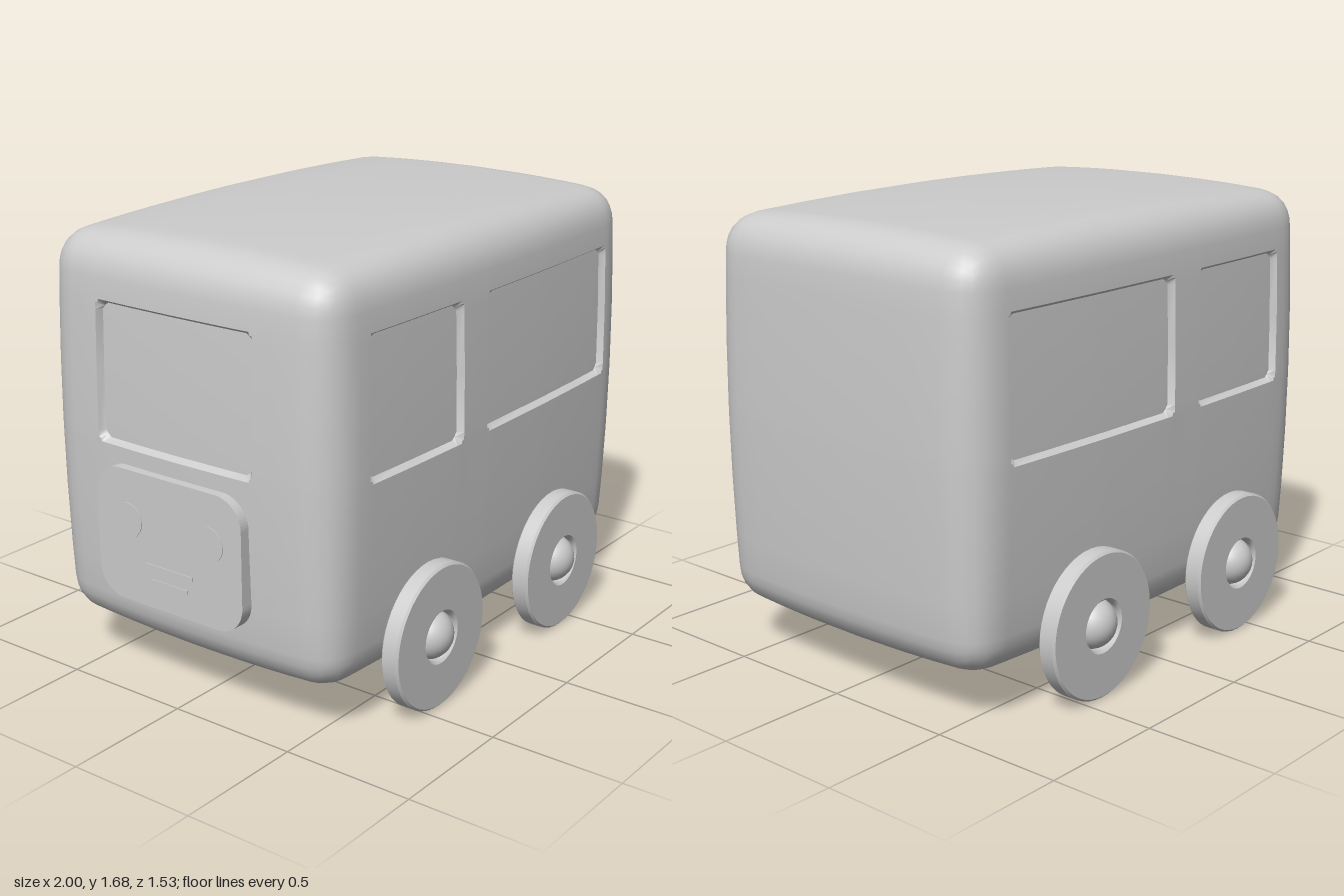
import * as THREE from 'three';
import { toCreasedNormals } from 'three/addons/utils/BufferGeometryUtils.js';

const mat = new THREE.MeshStandardMaterial({ color: 0xcccccc });

// Body box: centre, half sizes and edge radius
const C = [0.017, 0.915, 0], H = [0.982, 0.764, 0.668], R = 0.17;
const RIM = 0.014, DEPTH = 0.024;
const WIN_Y = [0.918, 1.432];
const SIDE_WINDOWS = [[-0.742, -0.208], [-0.062, 0.81]];
const WINDSCREEN = [-0.37, 0.33];

function mesh(name, geometry, parent) {
  const m = new THREE.Mesh(geometry, mat);
  m.name = name;
  parent.add(m);
  return m;
}

// Grid lines along one axis: rounded ends, window rims, and a few in between
function stations(axis, windows) {
  const c = C[axis], h = H[axis];
  const list = [];
  for (let i = 0; i <= 3; i++) {
    const d = h - R + R * Math.tan((i * Math.PI) / 12);
    list.push(c - d, c + d);
  }
  for (const [a, b] of windows) {
    list.push(a, a + RIM, a + 0.04, (a + b) / 2, b - 0.04, b - RIM, b);
  }
  for (const t of [-0.6, -0.3, 0, 0.3, 0.6]) {
    const v = c + t * h;
    if (list.every((s) => Math.abs(s - v) > 0.05)) list.push(v);
  }
  return list.sort((a, b) => a - b);
}

// Puffed box with recessed window panes
function bodyGeometry() {
  const grid = [stations(0, SIDE_WINDOWS), stations(1, [WIN_Y]), stations(2, [WINDSCREEN])];
  const n = grid.map((g) => g.length - 1);
  const geo = new THREE.BoxGeometry(2, 2, 2, ...n);
  const pos = geo.attributes.position;
  const E = 1e-4;
  for (let i = 0; i < pos.count; i++) {
    const p = [pos.getX(i), pos.getY(i), pos.getZ(i)].map(
      (v, k) => grid[k][Math.round(((v + 1) / 2) * n[k])]);

    // Find the window this vertex belongs to, if any
    let axis = -1, win = null;
    const inside = (v, [a, b]) => v > a - E && v < b + E;
    if (Math.abs(Math.abs(p[2]) - H[2]) < E) {
      win = SIDE_WINDOWS.find((w) => inside(p[0], w));
      axis = 2;
    } else if (Math.abs(p[0] - C[0] + H[0]) < E && inside(p[2], WINDSCREEN)) {
      win = WINDSCREEN;
      axis = 0;
    }
    if (!inside(p[1], WIN_Y)) win = null;
    let sunk = false;
    if (win) {
      const u = axis === 2 ? 0 : 2;
      const edge = (v, [a, b]) => Math.min(v - a, b - v);
      const eu = edge(p[u], win), ev = edge(p[1], WIN_Y);
      sunk = eu > E && ev > E;
      // Round off the corners of the rim
      if (eu < RIM + E && ev < RIM + E && Math.abs(eu - ev) < E) {
        p[u] += 0.011 * Math.sign((win[0] + win[1]) / 2 - p[u]);
        p[1] += 0.011 * Math.sign((WIN_Y[0] + WIN_Y[1]) / 2 - p[1]);
      }
    }

    // Round the box edges
    const q = p.map((v, k) => v - C[k]);
    const core = q.map((v, k) => THREE.MathUtils.clamp(v, R - H[k], H[k] - R));
    const d = q.map((v, k) => v - core[k]);
    const len = Math.hypot(...d);
    const r = core.map((v, k) => v + (d[k] / len) * R);

    // Let every face bulge towards its middle
    const t = r.map((v, k) => Math.abs(v / H[k]));
    const out = r.map((v, k) => {
      const others = t.reduce((s, w, j) => (j === k ? s : s + w * w), 0);
      return v - Math.sign(v) * 0.028 * others * t[k] ** 8;
    });
    if (sunk) out[axis] -= Math.sign(out[axis]) * DEPTH;
    pos.setXYZ(i, ...out.map((v, k) => v + C[k]));
  }
  geo.deleteAttribute('uv');
  return toCreasedNormals(geo, 0.6);
}

// Plate on the front end, with two lamps and two grille bars
function faceplate() {
  const g = new THREE.Group();
  g.name = 'faceplate';
  const w = 0.33, h = 0.247, r = 0.11;
  const s = new THREE.Shape();
  s.moveTo(-w + r, -h);
  s.absarc(w - r, -h + r, r, -Math.PI / 2, 0);
  s.absarc(w - r, h - r, r, 0, Math.PI / 2);
  s.absarc(-w + r, h - r, r, Math.PI / 2, Math.PI);
  s.absarc(-w + r, -h + r, r, Math.PI, Math.PI * 1.5);
  mesh('plate', new THREE.ExtrudeGeometry(s, { depth: 0.06, bevelEnabled: false, curveSegments: 8 }), g);
  for (const x of [-0.185, 0.185]) {
    const lamp = mesh('lamp', new THREE.CylinderGeometry(0.065, 0.065, 0.006, 24), g);
    lamp.rotation.x = Math.PI / 2;
    lamp.position.set(x, 0.06, 0.06);
  }
  for (const [y, len] of [[-0.09, 0.22], [-0.145, 0.17]]) {
    mesh('grilleBar', new THREE.BoxGeometry(len, 0.016, 0.006), g).position.set(0, y, 0.06);
  }
  g.rotation.y = -Math.PI / 2;
  g.position.set(-0.937, 0.612, -0.02);
  return g;
}

// Ring wheel, ball hub and axle stub, with the outer side towards +z
function wheel() {
  const g = new THREE.Group();
  g.name = 'wheel';
  const profile = [[0.092, 0.008], [0.1, 0], [0.265, 0], [0.27, 0.005], [0.27, 0.06],
    [0.262, 0.068], [0.1, 0.068], [0.092, 0.06], [0.092, 0.008]];
  const ring = new THREE.LatheGeometry(profile.map(([x, y]) => new THREE.Vector2(x, y)), 48);
  mesh('tyre', toCreasedNormals(ring, 0.5), g).rotation.x = Math.PI / 2;
  mesh('hub', new THREE.SphereGeometry(0.093, 28, 18), g).position.z = 0.009;
  const axle = mesh('axle', new THREE.CylinderGeometry(0.06, 0.06, 0.16, 24), g);
  axle.rotation.x = Math.PI / 2;
  axle.position.z = -0.08;
  return g;
}

export function createModel() {
  const model = new THREE.Group();
  model.name = 'bus';
  mesh('body', bodyGeometry(), model);
  model.add(faceplate());
  for (const side of [1, -1]) {
    for (const x of [-0.423, 0.413]) {
      const w = wheel();
      w.position.set(x, 0.272, side * 0.664);
      if (side < 0) w.rotation.y = Math.PI;
      model.add(w);
    }
  }
  return model;
}
